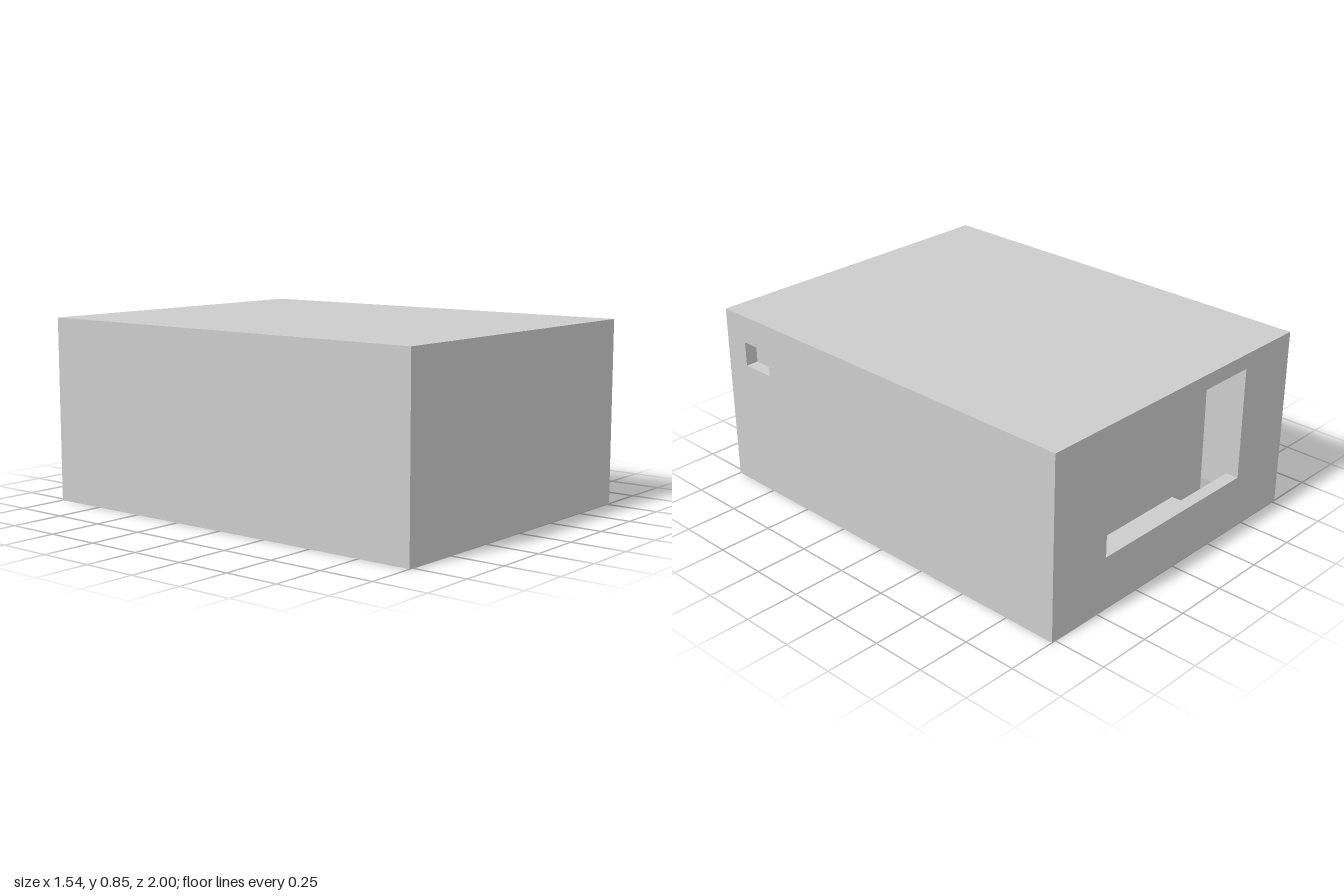
import * as THREE from 'three';

const W = 0.77, H = 0.85, D = 1;          // half width, height, half depth
const IN = 0.71, CORE = 0.6;              // inner wall face, half width of the core
const FLOOR = 0.06, CEIL = 0.82;          // inner floor and ceiling heights
const BACK = -0.94, CORE_BACK = -0.7, CHANNEL_END = 0.2;

const material = new THREE.MeshStandardMaterial({ color: 0xcccccc, flatShading: true });
const points = (list) => list.map(([x, y]) => new THREE.Vector2(x, y));
const rect = (x0, y0, x1, y1) => [[x0, y0], [x1, y0], [x1, y1], [x0, y1]];

// Plate of the given outline and thickness, with holes through it
function plate(outline, depth, holes = []) {
  const shape = new THREE.Shape(points(outline));
  for (const hole of holes) shape.holes.push(new THREE.Path(points(hole)));
  return new THREE.ExtrudeGeometry(shape, { depth, bevelEnabled: false });
}

// Plate drawn in x and z, lying between two heights
function level(outline, y0, y1, holes) {
  return plate(outline, y1 - y0, holes).rotateX(Math.PI / 2).translate(0, y1, 0);
}

export function createModel() {
  const group = new THREE.Group();
  const add = (name, geometry) => {
    const mesh = new THREE.Mesh(geometry, material);
    mesh.name = name;
    group.add(mesh);
  };

  // Floor with a mirrored pair of L-shaped slots
  const slot = (s) => [
    [0.385, -0.825], [IN, -0.825], [IN, CHANNEL_END],
    [CORE, CHANNEL_END], [CORE, CORE_BACK], [0.385, CORE_BACK],
  ].map(([x, z]) => [s * x, z]);
  add('floor', level(rect(-W, -D, W, D), 0, FLOOR, [slot(1), slot(-1)]));

  // Roof
  add('roof', level(rect(-W, -D, W, D), CEIL, H));

  // Back wall with the large rectangular opening
  add('backWall', plate(rect(-W, FLOOR, W, CEIL), BACK + D, [rect(-0.45, 0.25, 0.45, 0.78)])
    .translate(0, 0, -D));

  // Side walls: the left one has a small window closed by the core behind it
  const sideOutline = rect(-D, FLOOR, -BACK, CEIL);
  const side = (holes) => plate(sideOutline, W - IN, holes).rotateY(Math.PI / 2);
  add('leftWall', side([rect(-0.875, 0.605, -0.71, 0.72)]).translate(IN, 0, 0));
  add('rightWall', side().translate(-W, 0, 0));

  // Solid core, narrowed at the back to leave a channel on each side
  add('core', level([
    [-CORE, CORE_BACK], [CORE, CORE_BACK], [CORE, CHANNEL_END], [IN, CHANNEL_END],
    [IN, D], [-IN, D], [-IN, CHANNEL_END], [-CORE, CHANNEL_END],
  ], FLOOR, CEIL));

  return group;
}
